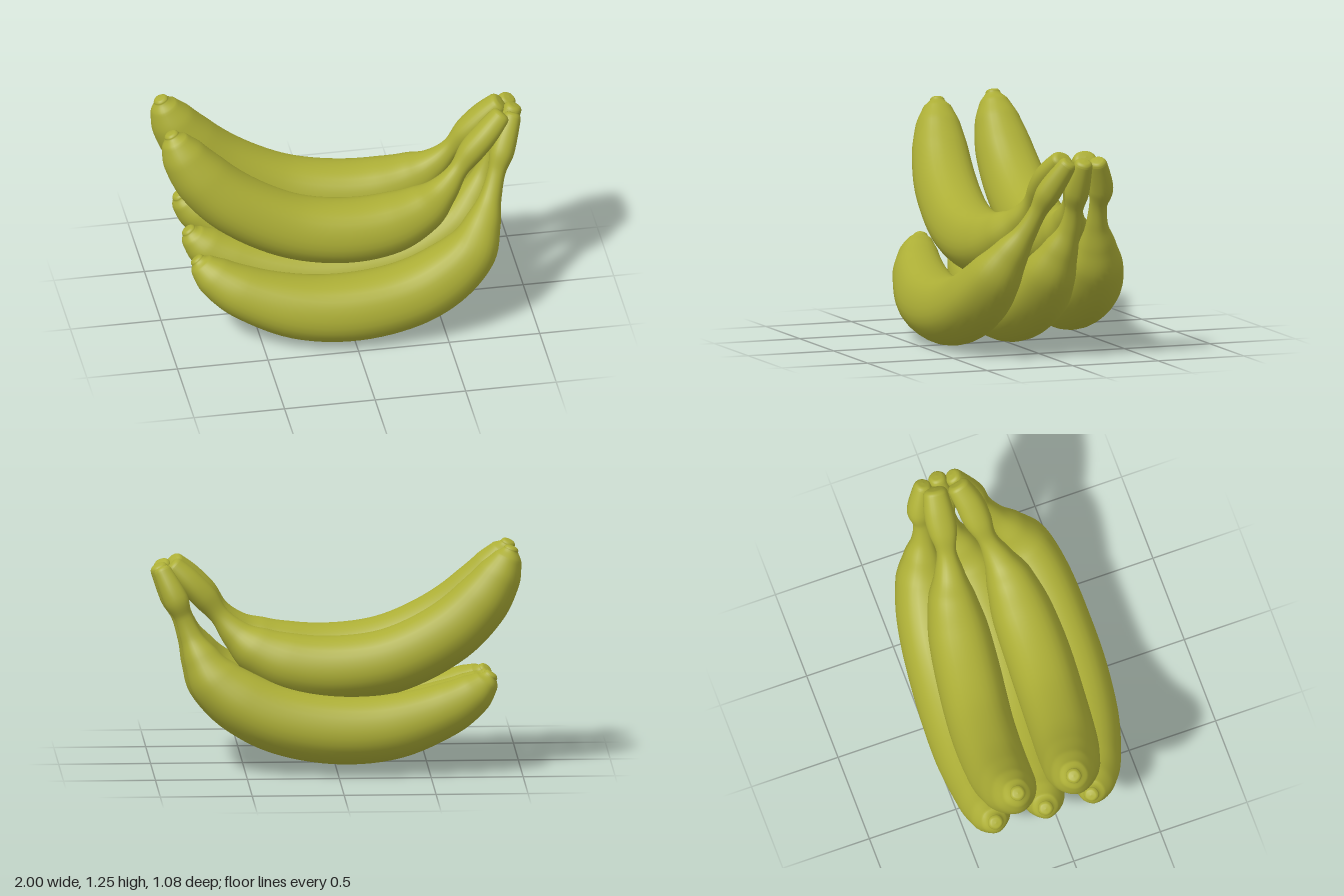
import * as THREE from 'three';

const SIDES = 30, RINGS = 120;
const material = new THREE.MeshStandardMaterial({ color: 0xacae36, roughness: 0.7 });

// Side profile of a banana from blossom tip to stem end: [x, y, radius]
const lowerProfile = [
  [-0.825, 0.467, 0.044], [-0.806, 0.444, 0.073], [-0.74, 0.386, 0.112], [-0.6, 0.306, 0.145],
  [-0.3, 0.21, 0.178], [0, 0.192, 0.188], [0.3, 0.241, 0.185], [0.5, 0.333, 0.174],
  [0.655, 0.462, 0.145], [0.732, 0.592, 0.1], [0.785, 0.71, 0.061], [0.828, 0.83, 0.049],
  [0.868, 0.935, 0.067], [0.937, 1.092, 0.05],
];
const upperProfile = [
  [-0.942, 1.191, 0.044], [-0.928, 1.16, 0.078], [-0.88, 1.068, 0.123], [-0.78, 0.927, 0.156],
  [-0.6, 0.764, 0.172], [-0.3, 0.612, 0.178], [0, 0.562, 0.179], [0.25, 0.585, 0.168],
  [0.43, 0.658, 0.132], [0.54, 0.742, 0.083], [0.625, 0.84, 0.054], [0.705, 0.94, 0.07],
  [0.79, 1.03, 0.068], [0.87, 1.108, 0.056],
];

// Sideways bend (z), lift at the tip and in the body, reach and sideways widening of the stem
const bananas = [
  { name: 'lowerFrontBanana', profile: lowerProfile, tipLift: 0, bodyLift: 0, reach: 0, widen: 0,
    z: [0.165, 0.175, 0.21, 0.262, 0.322, 0.35, 0.352, 0.342, 0.315, 0.255, 0.19, 0.135, 0.09, 0.005] },
  { name: 'lowerMiddleBanana', profile: lowerProfile, tipLift: 0.02, bodyLift: 0.003, reach: 0.02, widen: 0,
    z: [-0.1, -0.095, -0.08, -0.06, -0.02, 0.005, 0.01, 0.005, 0, -0.03, -0.06, -0.07, -0.07, -0.08] },
  { name: 'lowerBackBanana', profile: lowerProfile, tipLift: 0.02, bodyLift: 0.05, reach: 0.005, widen: 0,
    z: [-0.39, -0.39, -0.388, -0.38, -0.363, -0.342, -0.32, -0.3, -0.275, -0.25, -0.225, -0.215, -0.215, -0.17] },
  { name: 'upperFrontBanana', profile: upperProfile, tipLift: 0, bodyLift: 0, reach: 0, widen: 0.15,
    z: [0.02, 0.025, 0.04, 0.065, 0.1, 0.135, 0.155, 0.155, 0.145, 0.12, 0.09, 0.065, 0.045, 0.012] },
  { name: 'upperBackBanana', profile: upperProfile, tipLift: 0.025, bodyLift: 0, reach: 0.01, widen: 0.2,
    z: [-0.305, -0.305, -0.305, -0.305, -0.302, -0.28, -0.242, -0.21, -0.185, -0.16, -0.145, -0.135, -0.13, -0.12] },
];

// Closed tube of varying radius with a slightly five-sided section
function bananaGeometry({ profile, z, tipLift, bodyLift, reach, widen }) {
  const last = profile.length - 1;
  const path = profile.map(([x, y], i) => {
    const u = i / last;
    const tip = Math.max(0, 1 - u * 3);
    const body = Math.min(1, (1 - u) * 2);
    return new THREE.Vector3(
      x + reach * u * u, y + tipLift * tip + bodyLift * body, z[i]);
  });
  const radii = profile.map((p) => p[2]);

  // Small rounded caps on both ends
  const extend = (end, before) => {
    const dir = end.clone().sub(before).normalize();
    return [0.012, 0.023, 0.027].map((d) => end.clone().addScaledVector(dir, d));
  };
  const tipCap = extend(path[0], path[1]).reverse();
  const stemCap = extend(path[last], path[last - 1]);
  const capRadii = (r) => [r * 0.9, r * 0.64, 0];
  const points = [...tipCap, ...path, ...stemCap];
  const allRadii = [...capRadii(radii[0]).reverse(), ...radii, ...capRadii(radii[last])];

  const spine = new THREE.CatmullRomCurve3(points);
  const girth = new THREE.CatmullRomCurve3(
    allRadii.map((r, i) => new THREE.Vector3(r, i * 0.1, 0)), false, 'catmullrom', 0.4);

  const positions = [], index = [];
  const side = new THREE.Vector3(0, 0, 1);
  for (let i = 0; i <= RINGS; i++) {
    const t = i / RINGS;
    const centre = spine.getPoint(t);
    const tangent = spine.getTangent(t);
    const normal = side.clone().cross(tangent).normalize();
    const binormal = tangent.clone().cross(normal);
    const r = i === 0 || i === RINGS ? 0 : Math.max(0, girth.getPoint(t).x);
    const width = 1 + widen * THREE.MathUtils.smoothstep(t, 0.68, 0.78);
    for (let j = 0; j < SIDES; j++) {
      const a = (j / SIDES) * Math.PI * 2;
      const rr = r * (1 - 0.015 * Math.cos(5 * a));
      const p = centre.clone()
        .addScaledVector(normal, rr * Math.cos(a))
        .addScaledVector(binormal, rr * width * Math.sin(a));
      positions.push(p.x, p.y, p.z);
      if (i < RINGS) {
        const k = i * SIDES + j, n = i * SIDES + (j + 1) % SIDES;
        index.push(k, n, k + SIDES, n, n + SIDES, k + SIDES);
      }
    }
  }
  const geometry = new THREE.BufferGeometry();
  geometry.setAttribute('position', new THREE.Float32BufferAttribute(positions, 3));
  geometry.setIndex(index);
  geometry.computeVertexNormals();
  return geometry;
}

export function createModel() {
  const group = new THREE.Group();
  group.name = 'bananaBunch';
  for (const spec of bananas) {
    const mesh = new THREE.Mesh(bananaGeometry(spec), material);
    mesh.name = spec.name;
    group.add(mesh);
  }
  return group;
}
